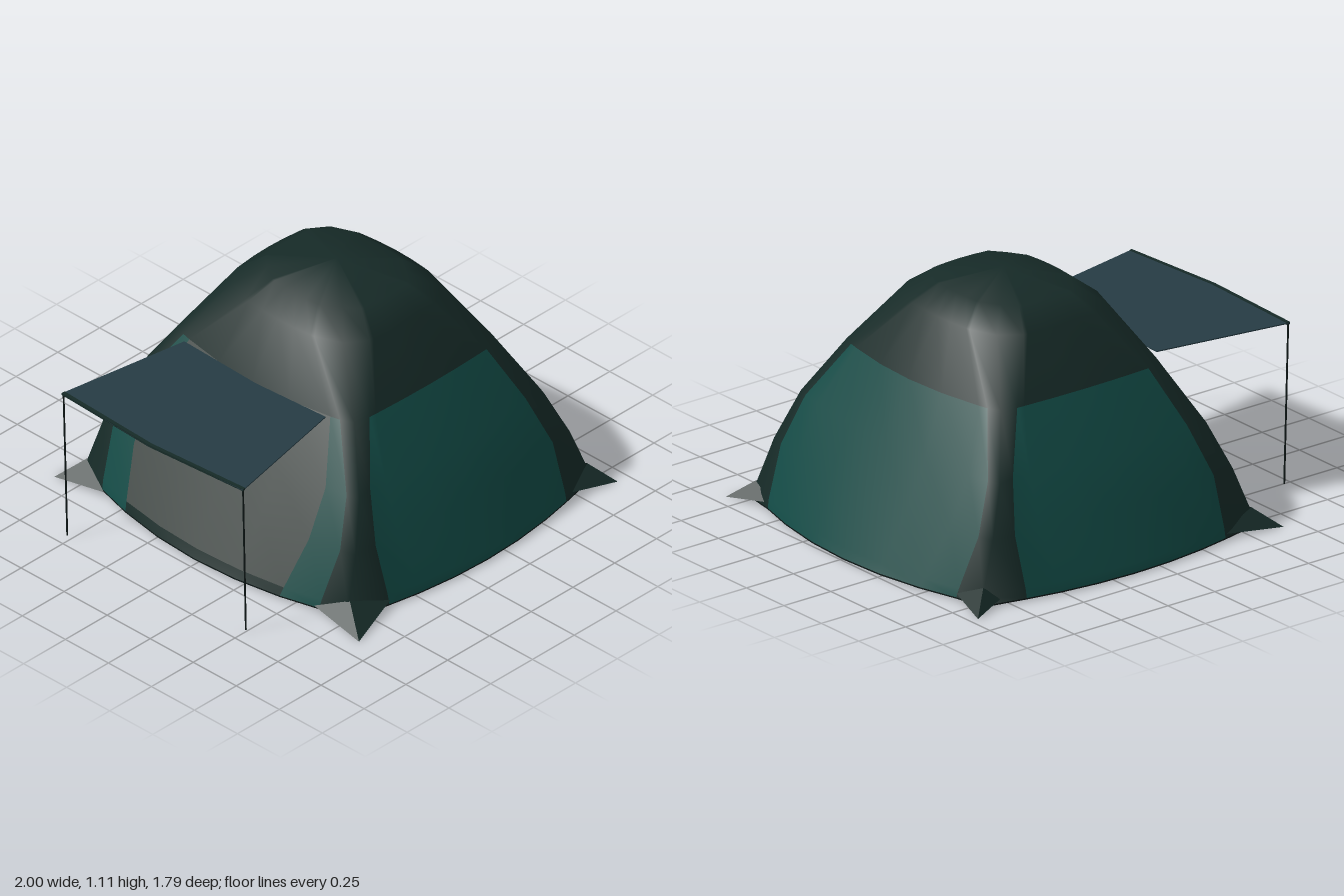
import * as THREE from 'three';

const CX = 0.145, CZ = -0.02; // centre of the dome
const mat = (color) => new THREE.MeshStandardMaterial({ color, side: THREE.DoubleSide });
const teal = mat(0x124a45), dark = mat(0x162a27), slate = mat(0x263c44);
const mesh = mat(0x474e4b), black = mat(0x0d1716);

// Cross-sections of one quadrant, top to bottom:
// y, mid-side x, mid-side z, side panel corner (x,z), ridge (x,z), front panel corner (x,z), door width ratio
const LEVELS = [
  [1.055, 0.25, 0.29, 0.24, 0.14, 0.19, 0.22, 0.14, 0.28, 0.9],
  [0.975, 0.355, 0.4, 0.34, 0.2, 0.29, 0.32, 0.2, 0.385, 0.9],
  [0.73, 0.505, 0.54, 0.45, 0.455, 0.425, 0.515, 0.35, 0.53, 0.9],
  [0.48, 0.63, 0.695, 0.57, 0.61, 0.55, 0.665, 0.465, 0.645, 0.83],
  [0.27, 0.735, 0.78, 0.66, 0.66, 0.64, 0.73, 0.53, 0.74, 0.77],
  [0.05, 0.835, 0.87, 0.745, 0.635, 0.72, 0.765, 0.53, 0.812, 0.72],
  [0.01, 0.855, 0.88, 0.755, 0.63, 0.73, 0.775, 0.53, 0.82, 0.71],
];
const PANEL_TOP = 2, DOOR_BOTTOM = 5, N = 32;

// One closed ring of 32 points: the quadrant mirrored four times
function ring([y, hx, hz, ax, az, rx, rz, bx, bz, t]) {
  const sideX = (s) => [hx - (hx - ax) * s * s, az * s];
  const sideZ = (s) => [bx * s, hz - (hz - bz) * s * s];
  const q = [sideX(0), sideX(t / 2), sideX(t), [ax, az], [rx, rz], [bx, bz], sideZ(t), sideZ(t / 2), sideZ(0)];
  const out = [];
  [[1, 1], [-1, 1], [-1, -1], [1, -1]].forEach(([sx, sz], i) => {
    for (let k = 0; k < 8; k++) {
      const [x, z] = q[i % 2 ? 8 - k : k];
      out.push(new THREE.Vector3(CX + sx * x, y, CZ + sz * z));
    }
  });
  return out;
}

function buildDome(group) {
  const points = [new THREE.Vector3(CX, 1.11, CZ), ...LEVELS.flatMap(ring)];
  const parts = { canopy: [], wallPanels: [], doorScreen: [] };
  const id = (row, j) => 1 + row * N + (j % N);
  for (let j = 0; j < N; j++) {
    parts.canopy.push(0, id(0, j + 1), id(0, j));
    const quadrant = Math.floor(j / 8);
    const k = quadrant % 2 ? 7 - (j % 8) : j % 8;
    const inDoor = (quadrant === 1 || quadrant === 2) && k < 2;
    const ridge = k === 3 || k === 4;
    for (let row = 0; row < LEVELS.length - 1; row++) {
      let part = 'wallPanels';
      if (row < PANEL_TOP || ridge || (inDoor && row >= DOOR_BOTTOM)) part = 'canopy';
      else if (inDoor) part = 'doorScreen';
      const a = id(row, j), b = id(row, j + 1), c = id(row + 1, j), d = id(row + 1, j + 1);
      parts[part].push(a, b, c, b, d, c);
    }
  }
  // Shared smooth normals over the whole shell, then split by colour
  const shell = new THREE.BufferGeometry().setFromPoints(points);
  shell.setIndex(Object.values(parts).flat());
  shell.computeVertexNormals();
  const materials = { canopy: dark, wallPanels: teal, doorScreen: mesh };
  for (const [name, index] of Object.entries(parts)) {
    const geo = new THREE.BufferGeometry();
    geo.setAttribute('position', shell.attributes.position);
    geo.setAttribute('normal', shell.attributes.normal);
    geo.setIndex(index);
    add(group, name, geo, materials[name]);
  }
}

function add(group, name, geometry, material) {
  const m = new THREE.Mesh(geometry, material);
  m.name = name;
  group.add(m);
  return m;
}

// Flat sheet lying at height y, outlined by [x, z] points
function sheet(points, y, thickness) {
  const shape = new THREE.Shape(points.map(([x, z]) => new THREE.Vector2(x, z)));
  const geo = new THREE.ExtrudeGeometry(shape, { depth: thickness, bevelEnabled: false });
  return geo.rotateX(Math.PI / 2).translate(0, y, 0);
}

// Folded triangular flap from a peg tip up to the corner ridge
function flap(tip, a, b, ridge) {
  const v = (p, y) => new THREE.Vector3(p[0], y, p[1]);
  const pts = [v(tip, 0), v(a, 0.03), v(ridge, 0.085), v(tip, 0), v(ridge, 0.085), v(b, 0.03)];
  const geo = new THREE.BufferGeometry().setFromPoints(pts);
  geo.computeVertexNormals();
  return geo;
}

function pole(from, to) {
  const a = new THREE.Vector3(...from), b = new THREE.Vector3(...to);
  return new THREE.TubeGeometry(new THREE.LineCurve3(a, b), 1, 0.004, 6);
}

export function createModel() {
  const group = new THREE.Group();
  group.name = 'tent';
  buildDome(group);

  // Ground sheet
  const base = ring(LEVELS[LEVELS.length - 1]).map((p) => [p.x, p.z]);
  add(group, 'groundSheet', sheet(base, 0.012, 0.006), black);

  // Corner flaps: peg tip, two ends on the base edge, ridge point
  const flaps = [
    [[0.94, 0.84], [0.72, 0.79], [0.88, 0.61], [0.86, 0.74]],
    [[-0.66, 0.89], [-0.38, 0.8], [-0.63, 0.6], [-0.56, 0.74]],
    [[-0.67, -0.87], [-0.36, -0.83], [-0.64, -0.61], [-0.57, -0.78]],
    [[0.96, -0.87], [0.77, -0.8], [0.9, -0.65], [0.86, -0.78]],
  ];
  for (const f of flaps) add(group, 'cornerFlap', flap(...f), dark);

  // Awning over the door with its hem
  add(group, 'awning', sheet([
    [-0.345, -0.43], [-0.36, 0], [-0.335, 0.38], [-0.962, 0.51], [-1, 0], [-0.977, -0.53],
  ], 0.734, 0.005), slate);
  add(group, 'awningHem', sheet([
    [-0.977, -0.53], [-1, 0], [-0.962, 0.51], [-0.947, 0.507], [-0.983, 0], [-0.96, -0.527],
  ], 0.736, 0.01), dark);

  // Awning poles
  add(group, 'awningPole', pole([-0.97, 0.73, -0.525], [-0.953, 0.01, -0.52]), black);
  add(group, 'awningPole', pole([-0.957, 0.73, 0.505], [-0.935, 0.01, 0.5]), black);
  return group;
}
